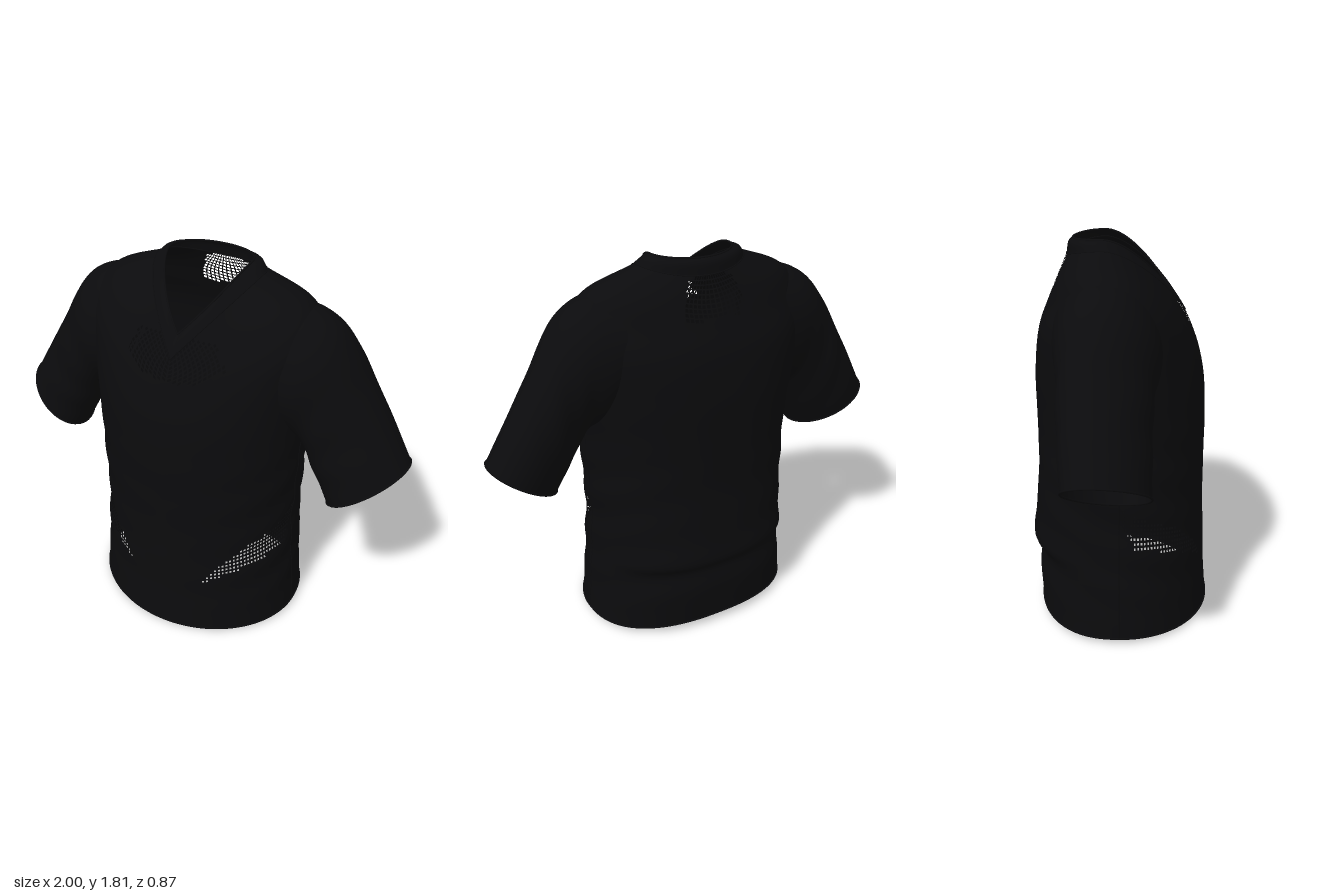
import * as THREE from 'three';

const fabric = new THREE.MeshStandardMaterial({ color: 0x0b0b0d, side: THREE.DoubleSide });
const COLS = 160;
const V = (x, y, z) => new THREE.Vector3(x, y, z);
const { lerp, smoothstep } = THREE.MathUtils;
const spow = (v, p) => Math.sign(v) * Math.abs(v) ** p;

// Closed ring around the trunk; a = 0 is the front. vee sharpens the front into a V.
// w: half width, f/s/b: [y, z] at front, side and back, p: squareness (back is fuller by default)
function ringPoint({ w, f, s, b, p, vee = 0 }, a) {
  const sn = Math.sin(a), cs = Math.cos(a), front = cs > 0;
  const end = front ? f : b;
  const e = p ?? (front ? 1 : 0.83);
  const straight = 1 - Math.abs(sn);
  const kz = lerp(Math.abs(cs) ** e, straight, front ? vee * 0.5 : 0);
  const ky = lerp(cs * cs, straight, front ? vee : 0);
  return V(w * spow(sn, e), lerp(s[0], end[0], ky), lerp(s[1], end[1], kz));
}

// Skin over columns of points (closed around); classify returns 'skip', a frame width for net, or 0
function skin(columns, classify = () => 0) {
  const n = columns.length, m = columns[0].length;
  const pos = columns.flat().flatMap(p => [p.x, p.y, p.z]);
  const index = [], netPos = [], netIndex = [];
  for (let i = 0; i < n; i++) {
    const k = (i + 1) % n;
    for (let j = 0; j < m - 1; j++) {
      const q = [columns[i][j], columns[k][j], columns[k][j + 1], columns[i][j + 1]];
      const c = V(0, 0, 0);
      q.forEach(p => c.addScaledVector(p, 0.25));
      const kind = classify(c);
      if (kind === 'skip') continue;
      if (kind) {
        // a square frame with an open middle
        const o = netPos.length / 3;
        for (const p of [...q, ...q.map(p => p.clone().lerp(c, kind))]) netPos.push(p.x, p.y, p.z);
        for (let e = 0; e < 4; e++) {
          const g = (e + 1) % 4;
          netIndex.push(o + e, o + g, o + 4 + g, o + e, o + 4 + g, o + 4 + e);
        }
      } else {
        const A = i * m + j, B = k * m + j;
        index.push(A, B, B + 1, A, B + 1, A + 1);
      }
    }
  }
  return [geometry(pos, index), geometry(netPos, netIndex)];
}

function geometry(pos, index) {
  const g = new THREE.BufferGeometry();
  g.setAttribute('position', new THREE.Float32BufferAttribute(pos, 3));
  g.setIndex(index);
  g.computeVertexNormals();
  return g;
}

function add(group, name, geo) {
  const mesh = new THREE.Mesh(geo, fabric);
  mesh.name = name;
  group.add(mesh);
}

// Smooth columns through a list of control rings
function columnsThrough(rings, count, rows, point) {
  return Array.from({ length: count }, (_, i) => {
    const a = i / count * Math.PI * 2;
    return new THREE.CatmullRomCurve3(rings.map(r => point(r, a))).getSpacedPoints(rows);
  });
}

function seam(group, name, points, r, closed = true) {
  const path = new THREE.CatmullRomCurve3(points, closed);
  add(group, name, new THREE.TubeGeometry(path, points.length, r, 6, closed));
}

function inside(poly, x, y) {
  let hit = false;
  poly.forEach(([x1, y1], i) => {
    const [x2, y2] = poly[(i + 1) % poly.length];
    if ((y1 > y) !== (y2 > y) && x < (x2 - x1) * (y - y1) / (y2 - y1) + x1) hit = !hit;
  });
  return hit;
}

// Outlines of the open-net panels: chest and nape in x,y, flanks in z,y
const chestNet = [[-0.25, 1.46], [-0.18, 1.55], [0.18, 1.55], [0.25, 1.46], [0.12, 1.38], [-0.12, 1.38]];
const napeNet = [[-0.16, 1.555], [-0.11, 1.725], [0.11, 1.725], [0.16, 1.555]];
const flankNet = [[0, 0.67], [0.02, 0.56], [0.07, 0.47], [0.2, 0.43], [0.33, 0.37], [0.39, 0.29],
  [0.35, 0.4], [0.27, 0.52], [0.17, 0.58]];

function trunkKind({ x, y, z }) {
  const armhole = ((y - 1.36) / 0.25) ** 2 + ((z + 0.05) / 0.18) ** 2;
  if (Math.abs(x) > 0.46 && armhole < 1) return 'skip';
  if (z > 0 && inside(chestNet, x, y)) return 0.36;
  if (z < 0 && inside(napeNet, x, y)) return 0.3;
  return inside(flankNet, z, y) ? 0.5 : 0;
}

const neckSeam = { w: 0.26, f: [1.468, 0.296], s: [1.768, -0.08], b: [1.73, -0.25], p: 1, vee: 1 };
const trunkRings = [
  { w: 0.53, f: [0.008, 0.43], s: [0.025, 0], b: [0.045, -0.395] },
  { w: 0.515, f: [0.2, 0.415], s: [0.2, 0], b: [0.22, -0.405] },
  { w: 0.505, f: [0.33, 0.41], s: [0.33, 0], b: [0.34, -0.395] },
  { w: 0.502, f: [0.4, 0.408], s: [0.4, 0], b: [0.375, -0.43] },
  { w: 0.492, f: [0.53, 0.402], s: [0.53, 0], b: [0.5, -0.42] },
  { w: 0.5, f: [0.75, 0.4], s: [0.75, 0], b: [0.75, -0.4] },
  { w: 0.51, f: [1.0, 0.4], s: [1.0, 0], b: [1.0, -0.4] },
  { w: 0.535, f: [1.18, 0.388], s: [1.22, -0.03], b: [1.22, -0.4] },
  { w: 0.56, f: [1.3, 0.362], s: [1.46, -0.05], b: [1.42, -0.375], vee: 0.1 },
  { w: 0.555, f: [1.36, 0.342], s: [1.585, -0.06], b: [1.53, -0.335], p: 0.95, vee: 0.3 },
  { w: 0.48, f: [1.41, 0.322], s: [1.677, -0.07], b: [1.62, -0.297], p: 0.9, vee: 0.5 },
  neckSeam,
];

// Collar band from the neck seam to the opening
const collarRings = [
  neckSeam,
  { w: 0.228, f: [1.515, 0.268], s: [1.8, -0.1], b: [1.785, -0.24], p: 1, vee: 1 },
  { w: 0.198, f: [1.555, 0.225], s: [1.808, -0.08], b: [1.8, -0.22], p: 1, vee: 0.8 },
];

// Sleeve sections: top [x, y], bottom [x, y], z range, lean of the top towards the back
const sleeveRings = [
  { t: [0.4, 1.683], b: [0.42, 1.12], z: [-0.285, 0.19], lean: 0.02 },
  { t: [0.53, 1.655], b: [0.5, 1.075], z: [-0.275, 0.175], lean: 0.02 },
  { t: [0.62, 1.602], b: [0.532, 1.05], z: [-0.257, 0.158], lean: 0.03 },
  { t: [0.7, 1.5], b: [0.552, 1.015], z: [-0.247, 0.145], lean: 0.04 },
  { t: [0.78, 1.362], b: [0.578, 0.955], z: [-0.24, 0.14], lean: 0.05 },
  { t: [0.89, 1.177], b: [0.625, 0.868], z: [-0.232, 0.137], lean: 0.05 },
  { t: [0.998, 0.99], b: [0.672, 0.775], z: [-0.215, 0.138], lean: 0.05 },
];

function sleevePoint({ t, b, z, lean }, a, side) {
  const cs = Math.cos(a), k = (1 + cs) / 2;
  const zz = (z[0] + z[1]) / 2 + (z[1] - z[0]) / 2 * Math.sin(a) - lean * cs;
  return V(side * lerp(b[0], t[0], k), lerp(b[1], t[1], k), zz);
}

// True where a sleeve point lies beneath the trunk's surface
function buried(c, trunkPoints) {
  let best = Infinity, near;
  for (const p of trunkPoints) {
    const d = p.distanceToSquared(c);
    if (d < best) [best, near] = [d, p];
  }
  const core = V(0, 1.2, -0.03);
  return near.distanceTo(core) > c.distanceTo(core) + 0.015;
}

export function createModel() {
  const shirt = new THREE.Group();
  shirt.name = 'jersey';

  // Trunk with soft slanting folds below the chest
  const trunk = columnsThrough(trunkRings, COLS, 84, ringPoint);
  trunk.forEach((col, i) => {
    const a = i / COLS * Math.PI * 2;
    for (const p of col) {
      const fade = smoothstep(p.y, 0.05, 0.3) * (1 - smoothstep(p.y, 0.8, 1.15));
      const fold = 1 + 0.008 * fade * Math.sin(p.y * 30 + 5 * Math.cos(a)) * Math.abs(Math.sin(a));
      p.x *= fold;
      p.z *= fold;
    }
  });
  const [cloth, net] = skin(trunk, trunkKind);
  add(shirt, 'trunk', cloth);
  add(shirt, 'netPanels', net);
  seam(shirt, 'hem', trunk.map(c => c[0]), 0.005);

  // Collar
  const collar = columnsThrough(collarRings, COLS, 6, ringPoint);
  add(shirt, 'collar', skin(collar)[0]);
  seam(shirt, 'collarEdge', collar.map(c => c[6]), 0.005);
  seam(shirt, 'collarSeam', collar.map(c => c[0]), 0.003);

  // Sleeves with light creases, and the side seams beneath them
  const upperTrunk = trunk.flat().filter(p => p.y > 0.95 && Math.abs(p.x) > 0.25);
  for (const side of [1, -1]) {
    const sleeve = columnsThrough(sleeveRings, 64, 40, (r, a) => sleevePoint(r, a, side));
    sleeve.forEach((col, i) => col.forEach((p, j) => {
      const a = i / 64 * Math.PI * 2;
      p.z += 0.004 * Math.sin(j * 0.5 + a * 3) * Math.sin(a) * Math.sin(j / 40 * Math.PI);
    }));
    const name = side > 0 ? 'left' : 'right';
    const kind = c => Math.abs(c.x) < 0.6 && buried(c, upperTrunk) ? 'skip' : 0;
    add(shirt, name + 'Sleeve', skin(sleeve, kind)[0]);
    seam(shirt, name + 'Cuff', sleeve.map(c => c[40]), 0.005);
    const flank = trunk[side > 0 ? COLS / 4 : COLS * 3 / 4];
    seam(shirt, name + 'SideSeam', flank.filter(p => p.y < 1.1), 0.003, false);
  }
  return shirt;
}
